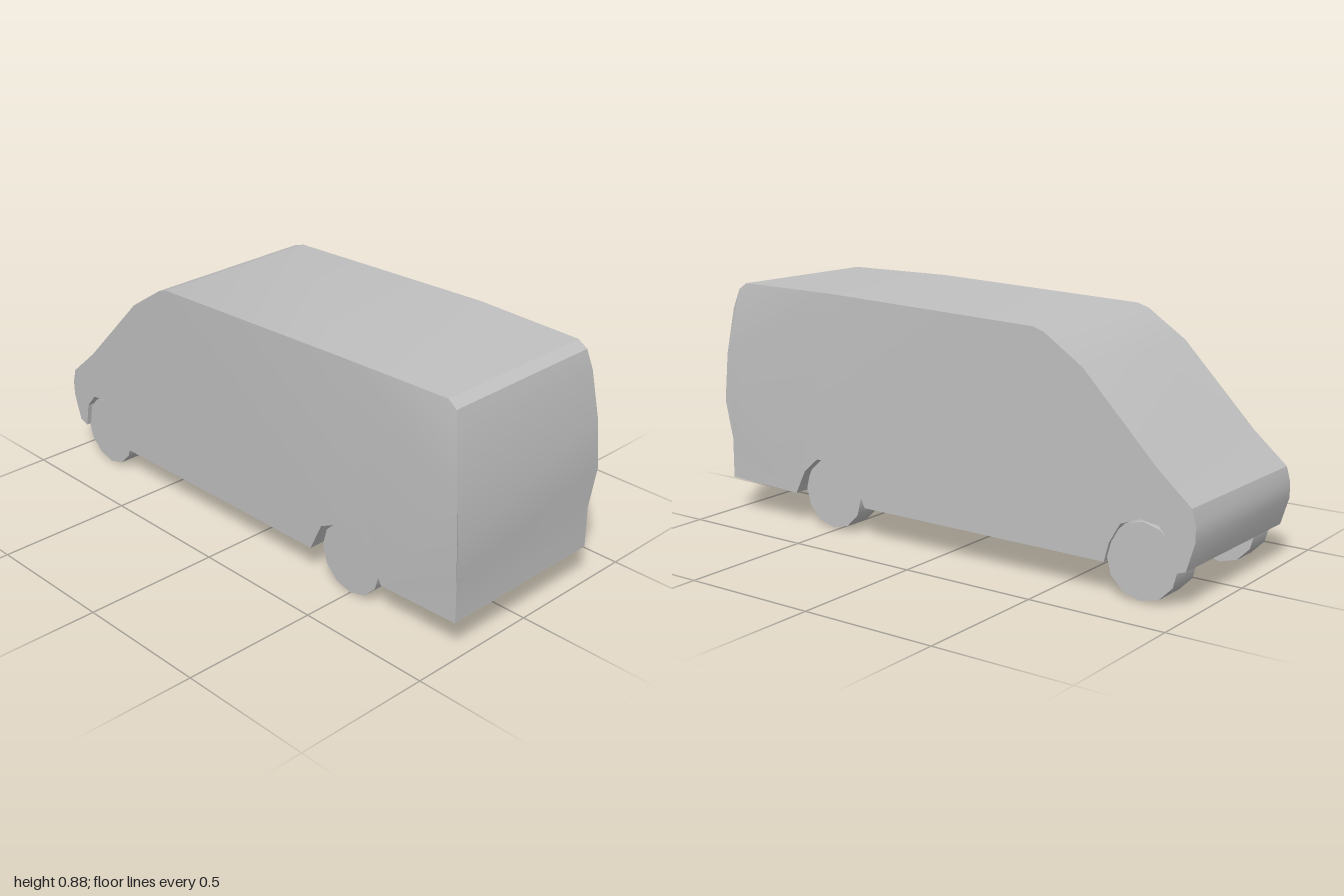
import * as THREE from 'three';
import { toCreasedNormals } from 'three/addons/utils/BufferGeometryUtils.js';

// side profile as [z, y, half width], from the roof around the tail, floor and nose
const W = 0.328;
const TAIL = [
  [0.48, 0.876], [0.91, 0.876, 0.31], [0.945, 0.852, 0.312], [0.962, 0.78, 0.327],
  [0.985, 0.61, 0.344], [1, 0.43, 0.347], [0.986, 0.28], [0.986, 0.13],
  [0.665, 0.12], [0.62, 0.21], [0.56, 0.262], [0.48, 0.272],
];
const NOSE = [
  [0.386, 0.225], [0.335, 0.118], [-0.672, 0.113], [-0.69, 0.18], [-0.73, 0.25], [-0.8, 0.278],
  [-0.87, 0.268], [-0.915, 0.215], [-0.932, 0.125], [-0.97, 0.137], [-1, 0.235],
  [-1, 0.29], [-0.985, 0.343], [-0.86, 0.45], [-0.58, 0.735], [-0.43, 0.833], [-0.385, 0.847],
];

function bodyGeometry() {
  const loop = [...TAIL, ...NOSE];
  const pos = [];
  const put = (i, side) => {
    const [z, y, w = W] = loop[i];
    pos.push(side * w, y, z);
  };

  // side panels: the flared tail and the flat front are filled separately
  const tail = TAIL.map((_, i) => i);
  const nose = [TAIL.length - 1, ...NOSE.map((_, i) => i + TAIL.length), 0];
  for (const ids of [tail, nose]) {
    const outline = ids.map(i => new THREE.Vector2(-loop[i][0], loop[i][1]));
    for (const [a, b, c] of THREE.ShapeUtils.triangulateShape(outline, [])) {
      for (const i of [a, b, c]) put(ids[i], 1);
      for (const i of [a, c, b]) put(ids[i], -1);
    }
  }

  // skin across the width: roof, tail, floor, wheel tunnels and nose
  loop.forEach((_, a) => {
    const b = (a + 1) % loop.length;
    put(a, 1); put(a, -1); put(b, -1);
    put(a, 1); put(b, -1); put(b, 1);
  });

  const geo = new THREE.BufferGeometry();
  geo.setAttribute('position', new THREE.Float32BufferAttribute(pos, 3));
  return toCreasedNormals(geo, 0.45);
}

export function createModel() {
  const grey = new THREE.MeshStandardMaterial({ name: 'grey', color: 0xc0c0c0 });
  const van = new THREE.Group();
  van.name = 'van';

  const body = new THREE.Mesh(bodyGeometry(), grey);
  body.name = 'body';
  van.add(body);

  // wheels: inner x, outer x, z
  const wheels = {
    tailLeftWheel: [0.185, 0.29, 0.515],
    tailRightWheel: [-0.302, -0.197, 0.5],
    noseLeftWheel: [0.188, 0.315, -0.805],
    noseRightWheel: [-0.31, -0.2, -0.81],
  };
  for (const [name, [x0, x1, z]] of Object.entries(wheels)) {
    const geo = new THREE.CylinderGeometry(0.131, 0.131, x1 - x0, 12).rotateZ(Math.PI / 2);
    const wheel = new THREE.Mesh(geo, grey);
    wheel.name = name;
    wheel.position.set((x0 + x1) / 2, 0.136, z);
    van.add(wheel);
  }

  // the whole van leans very slightly to its right
  van.rotation.z = 0.008;
  const model = new THREE.Group();
  model.name = 'model';
  model.add(van);
  return model;
}
